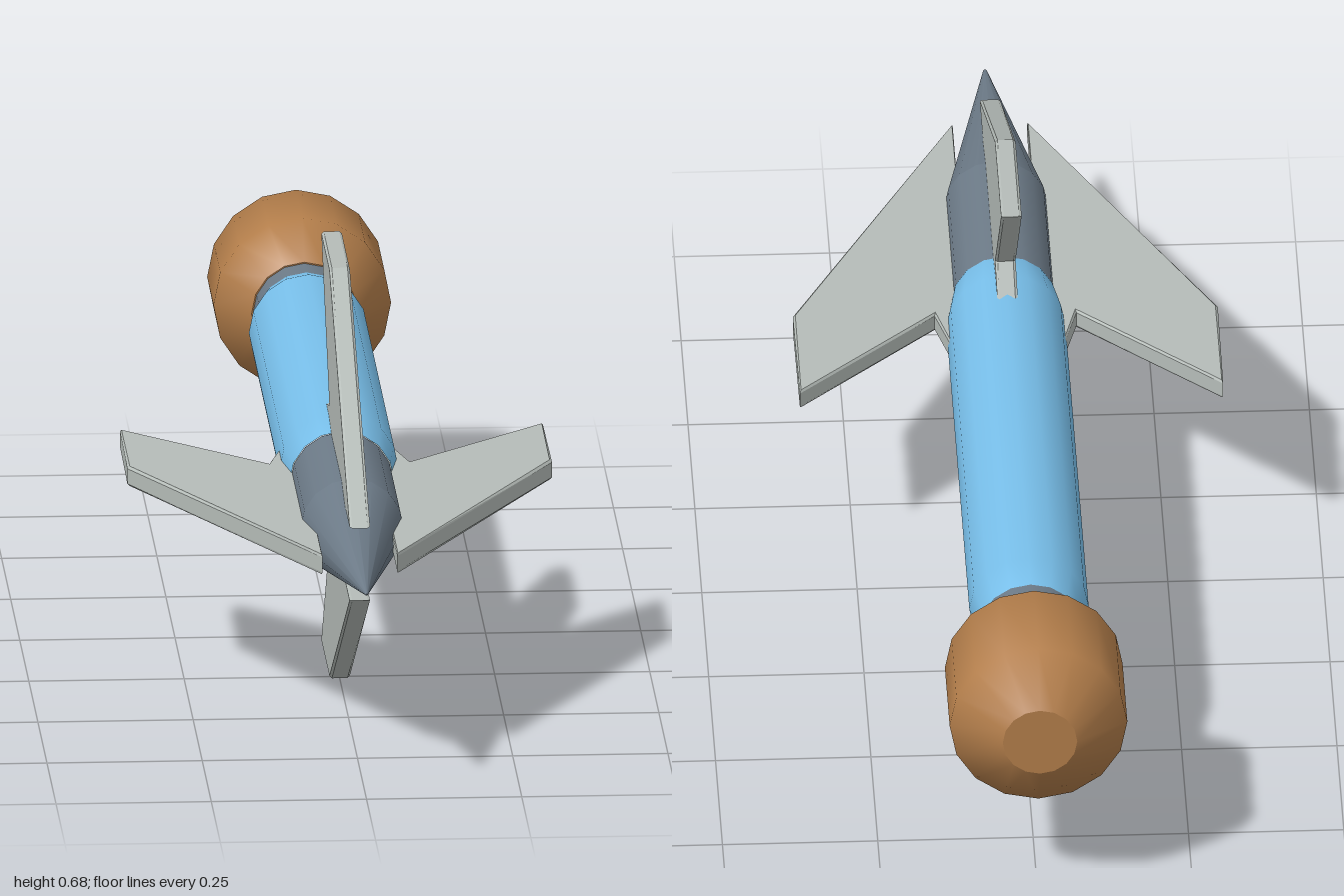
import * as THREE from 'three';

const AXIS_Y = 0.343;
const mat = (color) => new THREE.MeshStandardMaterial({ color });

// Turned part along z: points are [radius, z], from back to front.
function turned(name, points, material) {
  const geo = new THREE.LatheGeometry(points.map(([r, z]) => new THREE.Vector2(r, z)), 16);
  geo.rotateX(Math.PI / 2);
  const mesh = new THREE.Mesh(geo, material);
  mesh.name = name;
  mesh.position.y = AXIS_Y;
  return mesh;
}

export function createModel() {
  const group = new THREE.Group();
  group.name = 'dart';
  const blue = mat(0x78bfea), steel = mat(0x6c7a87), brown = mat(0xb27d4a), pale = mat(0xb5bcb8);

  // Shaft with tapered ends, pointed nose and rear collar
  group.add(turned('shaft', [[0.083, -0.66], [0.096, -0.6], [0.096, 0.24], [0.084, 0.315]], blue));
  group.add(turned('noseSleeve', [[0.083, 0.315], [0.083, 0.6]], steel));
  group.add(turned('noseCone', [[0.083, 0.6], [0.003, 0.998], [0, 1]], steel));
  group.add(turned('rearCollar', [[0.083, -0.73], [0.083, -0.66]], steel));

  // Rounded tail knob with flat end caps
  group.add(turned('tailKnob', [[0.06, -1], [0.143, -0.945], [0.143, -0.772], [0.085, -0.715]], brown));
  group.add(turned('knobBackCap', [[0, -1], [0.06, -1]], brown));
  group.add(turned('knobFrontCap', [[0.085, -0.715], [0, -0.715]], brown));

  // Four swept fins: outline in (radius, z), with a thin bevel
  const bevel = 0.004, thickness = 0.033;
  const outline = [[0.061, 0.815], [0.061, 0.05], [0.113, 0.258], [0.339, 0.037], [0.339, 0.26]];
  const shape = new THREE.Shape(outline.map(([r, z]) => new THREE.Vector2(r, z)));
  const finGeo = new THREE.ExtrudeGeometry(shape, {
    depth: thickness - 2 * bevel, bevelEnabled: true,
    bevelThickness: bevel, bevelSize: bevel, bevelOffset: -bevel / 4, bevelSegments: 1,
  });
  finGeo.translate(0, 0, -thickness / 2 + bevel);
  finGeo.rotateX(Math.PI / 2);
  ['leftFin', 'topFin', 'rightFin', 'bottomFin'].forEach((name, i) => {
    const fin = new THREE.Mesh(finGeo, pale);
    fin.name = name;
    fin.position.y = AXIS_Y;
    fin.rotation.z = i * Math.PI / 2;
    group.add(fin);
  });
  return group;
}
